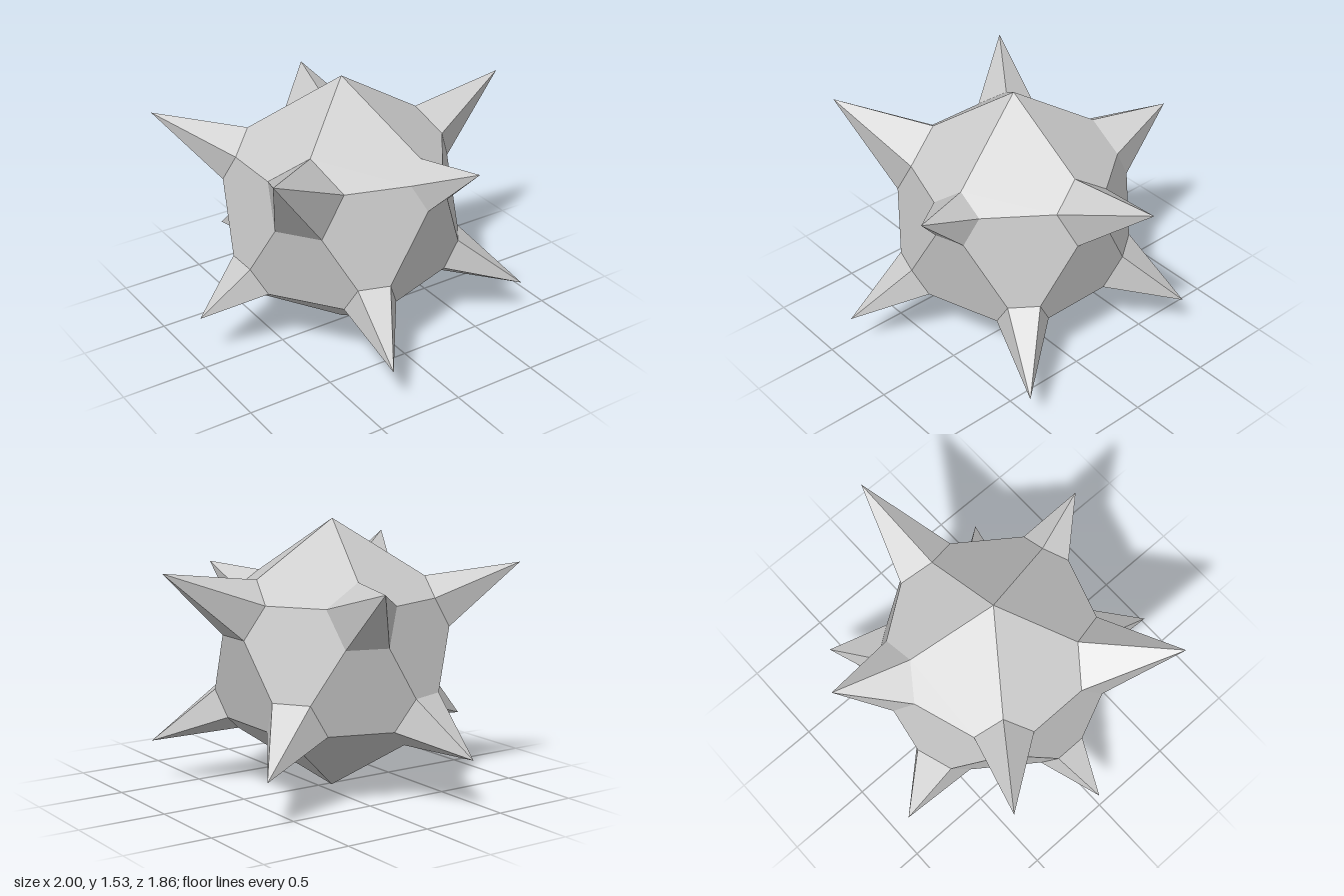
import * as THREE from 'three';

const CENTER = new THREE.Vector3(-0.075, 0.765, -0.025);
const R = 0.765;

// Spikes: tip x, y, z, then base size as a fraction of the body's edge
const UPPER = [
  [1.0, 1.30, -0.03, 0.275], [0.21, 1.22, 0.84, 0.218], [-0.88, 1.36, 0.6, 0.33],
  [-0.92, 1.29, -0.64, 0.245], [0.21, 1.23, -0.905, 0.3],
];
const LOWER = [
  [0.76, 0.25, 0.58, 0.22], [-0.38, 0.27, 0.93, 0.225], [-1.0, 0.305, -0.03, 0.226],
  [-0.365, 0.295, -0.93, 0.27], [0.73, 0.27, -0.61, 0.267],
];

// Flat convex polygon as a fan, wound to face away from the centre
function addPolygon(out, pts) {
  const n = pts[1].clone().sub(pts[0]).cross(pts[2].clone().sub(pts[0]));
  const mid = pts.reduce((s, p) => s.add(p), new THREE.Vector3()).divideScalar(pts.length);
  const p = n.dot(mid.sub(CENTER)) < 0 ? [...pts].reverse() : pts;
  for (let i = 1; i < p.length - 1; i++) {
    for (const q of [p[0], p[i], p[i + 1]]) out.push(q.x, q.y, q.z);
  }
}

function makeMesh(name, positions, material) {
  const g = new THREE.BufferGeometry();
  g.setAttribute('position', new THREE.Float32BufferAttribute(positions, 3));
  g.computeVertexNormals();
  const mesh = new THREE.Mesh(g, material);
  mesh.name = name;
  return mesh;
}

export function createModel() {
  const group = new THREE.Group();
  group.name = 'spikedBall';
  const material = new THREE.MeshStandardMaterial({ color: 0xcccccc, flatShading: true });

  // Icosahedron corners: two plain poles and two rings that carry spikes
  const corners = [
    { p: CENTER.clone().add(new THREE.Vector3(0, R, 0)), cut: 0 },
    { p: CENTER.clone().add(new THREE.Vector3(0, -R, 0)), cut: 0 },
  ];
  [UPPER, LOWER].forEach((ring, level) => ring.forEach(([x, y, z, cut], k) => {
    const a = (k * 2 + level) * Math.PI / 5;
    const r = 2 * R / Math.sqrt(5), h = (level ? -R : R) / Math.sqrt(5);
    corners.push({
      p: new THREE.Vector3(r * Math.cos(a), h, r * Math.sin(a)).add(CENTER),
      tip: new THREE.Vector3(x, y, z), cut, tris: [],
      name: (level ? 'lowerSpike' : 'upperSpike') + (k + 1),
    });
  }));

  const adjacent = (a, b) => a.p.distanceTo(b.p) < 1.2 * R;
  const toward = (a, b) => a.p.clone().lerp(b.p, a.cut);

  // Each face keeps what its cut corners leave; each cut starts a spike side
  const body = [];
  for (let i = 0; i < 12; i++) for (let j = i + 1; j < 12; j++) for (let k = j + 1; k < 12; k++) {
    const f = [corners[i], corners[j], corners[k]];
    if (!f.every((c, n) => adjacent(c, f[(n + 1) % 3]))) continue;
    const outline = [];
    f.forEach((c, n) => {
      const next = f[(n + 1) % 3], prev = f[(n + 2) % 3];
      if (!c.tip) return outline.push(c.p);
      const a = toward(c, prev), b = toward(c, next);
      outline.push(a, b);
      addPolygon(c.tris, [a, b, c.tip]);
    });
    addPolygon(body, outline);
  }

  group.add(makeMesh('body', body, material));
  for (const c of corners) if (c.tip) group.add(makeMesh(c.name, c.tris, material));
  return group;
}
